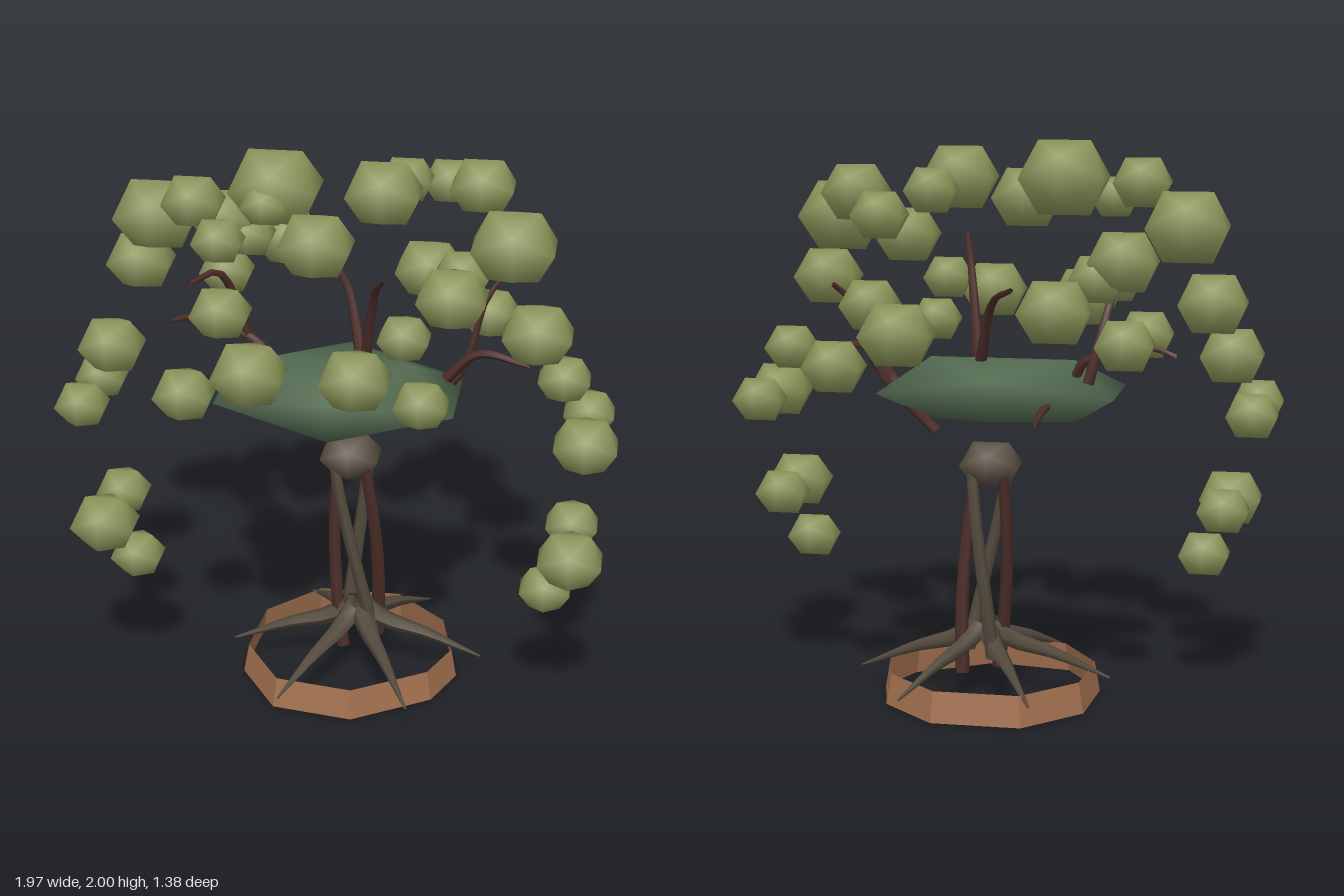
import * as THREE from 'three';
import { mergeVertices } from 'three/addons/utils/BufferGeometryUtils.js';

const paint = (name, color, extra = {}) => {
  const m = new THREE.MeshStandardMaterial({ color, ...extra });
  m.name = name;
  return m;
};

// Smooth-shaded icosahedron sized by its half extents
function lump(hx, hy, hz) {
  let g = new THREE.IcosahedronGeometry(1, 0);
  g.deleteAttribute('normal');
  g.deleteAttribute('uv');
  g = mergeVertices(g);
  g.scale(hx / 0.8507, hy / 0.8507, hz / 0.8507);
  g.computeVertexNormals();
  return g;
}

// Tube along points, narrowing from r0 to r1
function taper(points, r0, r1, segments = 8, sides = 6) {
  const curve = new THREE.CatmullRomCurve3(points.map(p => new THREE.Vector3(...p)), false, 'centripetal');
  const g = new THREE.TubeGeometry(curve, segments, 1, sides, false);
  const pos = g.attributes.position, v = new THREE.Vector3();
  for (let i = 0; i <= segments; i++) {
    const c = curve.getPointAt(i / segments);
    const r = r0 + (r1 - r0) * i / segments;
    for (let j = 0; j <= sides; j++) {
      const k = i * (sides + 1) + j;
      v.fromBufferAttribute(pos, k).sub(c).multiplyScalar(r).add(c);
      pos.setXYZ(k, v.x, v.y, v.z);
    }
  }
  g.computeVertexNormals();
  return g;
}

export function createModel() {
  const model = new THREE.Group();
  const leaf = paint('leaf green', 0x8c9659);
  const darkLeaf = paint('dark green', 0x52694f);
  const clay = paint('terracotta', 0xa2704f, { flatShading: true, side: THREE.DoubleSide });
  const redBark = paint('red brown bark', 0x4b2d28, { side: THREE.DoubleSide });
  const greyBark = paint('grey brown bark', 0x534a3d, { side: THREE.DoubleSide });
  const knotBark = paint('knot brown', 0x5c4f42);
  const add = (name, geometry, material, x = 0, y = 0, z = 0, parent = model) => {
    const m = new THREE.Mesh(geometry, material);
    m.name = name;
    m.position.set(x, y, z);
    parent.add(m);
    return m;
  };
  const group = name => {
    const g = new THREE.Group();
    g.name = name;
    model.add(g);
    return g;
  };

  // Open pot ring with a slightly narrower rim
  const outline = [[-0.14, -0.385], [0.18, -0.385], [0.38, -0.2], [0.435, 0.02], [0.36, 0.2],
    [0.09, 0.375], [-0.2, 0.33], [-0.35, 0.1], [-0.33, -0.18]];
  const wall = [], faces = [], n = outline.length;
  outline.forEach(([x, z], i) => {
    wall.push(x, 0, z, 0.04 + (x - 0.04) * 0.95, 0.11, z * 0.95);
    const a = 2 * i, b = 2 * ((i + 1) % n);
    faces.push(a, a + 1, b, b, a + 1, b + 1);
  });
  const ring = new THREE.BufferGeometry();
  ring.setAttribute('position', new THREE.Float32BufferAttribute(wall, 3));
  ring.setIndex(faces);
  ring.computeVertexNormals();
  add('potRing', ring, clay);

  // Arching roots
  const roots = group('roots');
  for (let i = 0; i < 6; i++) {
    const a = i * Math.PI / 3;
    const at = (r, y) => [0.06 + r * Math.cos(a), y, r * Math.sin(a)];
    add('root', taper([at(0.03, 0.25), at(0.11, 0.205), at(0.25, 0.165), at(0.46, 0.08)], 0.04, 0.004),
      greyBark, 0, 0, 0, roots);
  }

  // Four trunk strands twisting a quarter turn
  const trunk = group('trunk');
  for (let k = 0; k < 4; k++) {
    const red = k % 2 === 0, low = red ? 0.1 : 0.16;
    const pts = [];
    for (let s = 0; s <= 6; s++) {
      const t = s / 6, y = low + (0.84 - low) * t;
      const a = k * Math.PI / 2 + (t - 0.5) * Math.PI / 2;
      pts.push([0.068 - 0.035 * t + 0.078 * Math.cos(a), y, -0.033 + 0.078 * Math.sin(a)]);
    }
    add('trunkStrand', taper(pts, 0.026, 0.02, 12), red ? redBark : greyBark, 0, 0, 0, trunk);
  }
  add('trunkKnot', lump(0.104, 0.08, 0.104), knotBark, 0.03, 0.857, -0.033);

  // Flat core of the crown
  add('crownCore', lump(0.42, 0.112, 0.285), darkLeaf, -0.005, 1.122, 0.005);

  // Bare branches
  const branches = group('branches');
  [
    [[0.08, 1.18, 0], [0, 1.45, -0.16], [-0.09, 1.51, -0.3]],
    [[0.08, 1.18, 0.02], [0.14, 1.56, 0.16], [0.18, 1.645, 0.3]],
    [[0.22, 0.98, -0.07], [0.42, 1.19, -0.09], [0.49, 1.43, -0.15], [0.55, 1.51, -0.22]],
    [[0.36, 1.15, -0.08], [0.48, 1.27, -0.05], [0.66, 1.255, 0]],
    [[-0.33, 1.17, -0.12], [-0.38, 1.37, -0.1], [-0.43, 1.55, 0.02], [-0.5, 1.55, 0.15]],
    [[-0.3, 1.09, -0.06], [-0.29, 1.22, -0.09], [-0.53, 1.31, -0.15], [-0.64, 1.28, -0.17]],
    [[-0.25, 1.15, -0.13], [-0.19, 1.09, -0.25], [-0.18, 1.06, -0.34]],
  ].forEach(p => add('branch', taper(p, 0.022, 0.009, 10), redBark, 0, 0, 0, branches));

  // Leaf clusters: x, y, z, half width
  const leaves = group('leafClusters');
  const cluster = ([x, y, z, h]) => add('leafCluster', lump(h, h * 0.87, h), leaf, x, y, z, leaves);
  // crown top
  [
    [-0.22, 1.872, 0.025, 0.15], [-0.665, 1.715, -0.087, 0.14], [-0.48, 1.85, 0.15, 0.1],
    [-0.357, 1.785, 0.345, 0.083], [-0.24, 1.84, 0.13, 0.078], [-0.035, 1.78, 0.333, 0.121],
    [0.15, 1.87, 0.03, 0.125], [0.2, 1.84, -0.22, 0.088], [0.33, 1.77, -0.435, 0.09],
    [0.465, 1.83, -0.215, 0.109], [0.598, 1.725, 0.092, 0.14], [0.42, 1.635, 0.367, 0.113],
  ].forEach(cluster);
  // crown middle
  [
    [0.698, 1.485, 0.267, 0.115], [-0.77, 1.475, -0.257, 0.114], [-0.48, 1.62, -0.36, 0.114],
    [-0.39, 1.56, -0.355, 0.09], [-0.37, 1.5, 0.27, 0.098], [-0.225, 1.395, 0.53, 0.119],
    [-0.285, 1.475, -0.58, 0.117], [-0.505, 1.36, -0.5, 0.095], [-0.465, 1.27, 0.44, 0.098],
    [0.13, 1.412, 0.57, 0.113], [0.263, 1.48, 0.352, 0.085], [0.39, 1.455, -0.335, 0.097],
    [0.338, 1.305, 0.49, 0.088], [0.245, 1.385, -0.56, 0.119], [0.485, 1.26, -0.468, 0.1],
  ].forEach(cluster);
  // hanging side clusters
  [
    [0.785, 1.245, 0.065, 0.089], [0.872, 1.065, 0.21, 0.108], [0.872, 1.07, -0.06, 0.088],
    [0.842, 0.695, 0.35, 0.109], [0.835, 0.7, 0.085, 0.09], [0.757, 0.51, 0.225, 0.088],
    [-0.815, 1.26, 0.035, 0.109], [-0.9, 1.08, 0.16, 0.088], [-0.897, 1.075, -0.11, 0.088],
    [-0.797, 0.695, 0.31, 0.11], [-0.79, 0.7, 0.06, 0.09], [-0.715, 0.51, 0.182, 0.089],
  ].forEach(cluster);

  return model;
}
